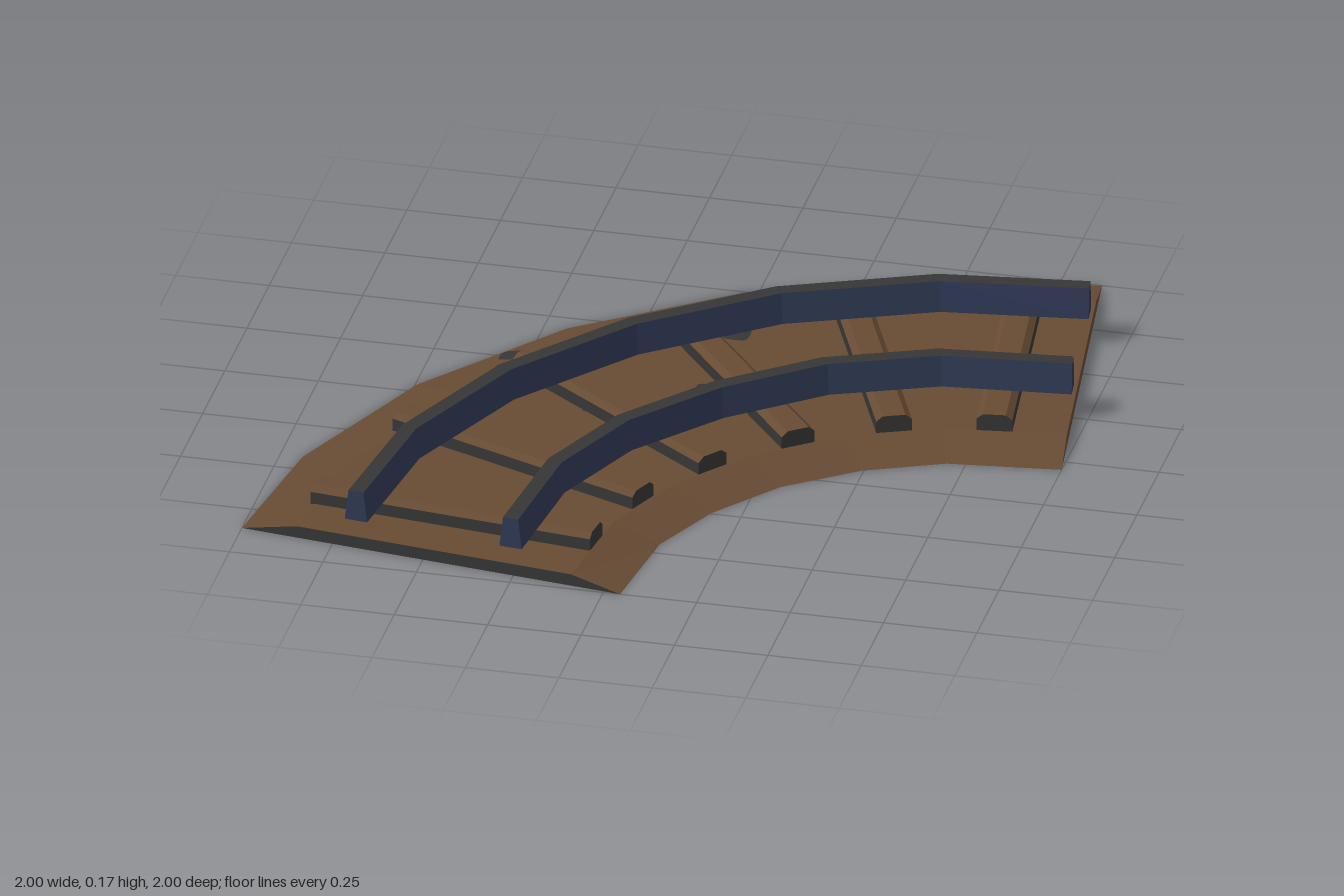
import * as THREE from 'three';

const material = (name, color) => {
  const m = new THREE.MeshStandardMaterial({ color });
  m.name = name;
  return m;
};

// Half of each plan outline [x, z]; the rest is mirrored across the line x = z
const mirrored = half => [...half, ...half.slice(0, -1).reverse().map(([x, z]) => [z, x])];
const OUTER = mirrored([[-1, 0.86], [-0.94, 0.43], [-0.745, -0.04], [-0.44, -0.44]]);
const INNER = mirrored([[0.045, 1], [0.08, 0.7], [0.17, 0.495], [0.31, 0.31]]);
const OUTER_RAIL = mirrored([[-0.685, 0.902], [-0.635, 0.51], [-0.47, 0.12], [-0.21, -0.21]]);
const INNER_RAIL = mirrored([[-0.258, 0.958], [-0.222, 0.61], [-0.105, 0.33], [0.09, 0.09]]);
const CENTRE = 1.148;
const BED = 0.033;

// Joins matching rings of points; one material index per ring edge and per end cap
function loft(name, rings, edgeMaterials, caps, materials) {
  const pos = [], geo = new THREE.BufferGeometry();
  const n = rings[0].length;
  const tri = (index, ...points) => {
    geo.addGroup(pos.length / 3, 3, index);
    points.forEach(p => pos.push(...p));
  };
  for (let i = 0; i < rings.length - 1; i++) {
    for (let j = 0; j < n; j++) {
      const k = (j + 1) % n, a = rings[i], b = rings[i + 1];
      tri(edgeMaterials[j], a[j], a[k], b[k]);
      tri(edgeMaterials[j], a[j], b[k], b[j]);
    }
  }
  const first = rings[0], last = rings[rings.length - 1];
  for (let j = 1; j < n - 1; j++) {
    tri(caps[0], first[0], first[j + 1], first[j]);
    tri(caps[1], last[0], last[j], last[j + 1]);
  }
  geo.setAttribute('position', new THREE.Float32BufferAttribute(pos, 3));
  geo.computeVertexNormals();
  const mesh = new THREE.Mesh(geo, materials);
  mesh.name = name;
  return mesh;
}

// Cross-section [offset, y] placed at a plan point along a sideways direction
function placeSection(section, [x, z], sx, sz) {
  const l = Math.hypot(sx, sz);
  return section.map(([o, y]) => [x + o * sx / l, y, z + o * sz / l]);
}

// Signed distances from a plan point to the lines through an outline's segments
function lineDistances(line, x, z) {
  return line.slice(1).map(([bx, bz], i) => {
    const [ax, az] = line[i], dx = bx - ax, dz = bz - az;
    return ((z - az) * dx - (x - ax) * dz) / Math.hypot(dx, dz);
  });
}

// Height of the sloped bed surface
function bedHeight(x, z) {
  const fromOuter = Math.min(...lineDistances(OUTER, x, z));
  const fromInner = -Math.max(...lineDistances(INNER, x, z));
  return BED * Math.max(0, Math.min(1, fromOuter / 0.15, fromInner / 0.135));
}

// Stone patches: [x0, x1, z0, z1]
const PATCHES = [
  [-0.54, -0.41, 0.44, 0.58], [-0.69, -0.56, 0.58, 0.67], [-0.82, -0.75, 0.37, 0.51],
  [-0.40, -0.28, 0.32, 0.37], [-0.35, -0.28, 0.46, 0.51], [-0.41, -0.28, 0.64, 0.71],
  [-0.54, -0.34, 0.84, 0.91], [-0.81, -0.74, 0.78, 0.84], [-0.81, -0.74, 0.62, 0.68],
  [-0.15, -0.08, 0.52, 0.75], [-0.15, -0.08, 0.83, 0.96], [-0.24, -0.13, 0.62, 0.70],
  [-0.02, 0.04, -0.02, 0.05], [-0.02, 0.06, -0.15, -0.09], [-0.02, 0.05, -0.48, -0.41],
  [0.11, 0.18, -0.35, -0.28], [-0.57, -0.50, -0.27, -0.20], [-0.48, -0.41, -0.28, -0.21],
  [-0.56, -0.49, -0.17, -0.11], [-0.28, -0.22, 0.06, 0.12], [0.06, 0.16, 0.33, 0.44],
  [0.22, 0.28, 0.18, 0.24], [0.21, 0.28, 0.25, 0.32], [0.33, 0.39, 0.09, 0.16],
  [0.40, 0.46, 0.05, 0.11], [-0.60, -0.52, 0.46, 0.53],
];

function makePatch([x0, x1, z0, z1], mat) {
  const geo = new THREE.RingGeometry(0, 1, 16, 3).rotateX(-Math.PI / 2);
  const p = geo.attributes.position;
  for (let i = 0; i < p.count; i++) {
    // Push the circle out toward a rounded rectangle, then drape it on the bed
    const r = Math.hypot(p.getX(i), p.getZ(i)) || 1;
    const soften = v => Math.sign(v) * Math.sqrt(Math.abs(v) / r) * r;
    const x = (x0 + x1) / 2 + soften(p.getX(i)) * (x1 - x0) / 2;
    const z = (z0 + z1) / 2 + soften(p.getZ(i)) * (z1 - z0) / 2;
    p.setXYZ(i, x, bedHeight(x, z) + 0.003, z);
  }
  geo.computeVertexNormals();
  const mesh = new THREE.Mesh(geo, mat);
  mesh.name = 'stonePatch';
  return mesh;
}

export function createModel() {
  const group = new THREE.Group();
  group.name = 'curvedTrack';
  const brown = material('earthBrown', 0x674b33);
  const grey = material('stoneGrey', 0x363636);
  const navy = material('railNavy', 0x303a56);

  // Earth bed with sloped shoulders
  const profile = [[0, 0], [0.145, BED], [0.87, BED], [1, 0]];
  const bedRings = OUTER.map(([ox, oz], i) => profile.map(([t, y]) =>
    [ox + (INNER[i][0] - ox) * t, y, oz + (INNER[i][1] - oz) * t]));
  group.add(loft('earthBed', bedRings, [0, 0, 0, 1], [1, 0], [brown, grey]));

  // Stone patches
  const patches = new THREE.Group();
  patches.name = 'stonePatches';
  PATCHES.forEach(patch => patches.add(makePatch(patch, grey)));
  group.add(patches);

  // Chamfered sleepers, three on each side of the bend: [outer end, inner end]
  const sleeperSection = [[-0.047, 0.03], [-0.047, 0.066], [-0.03, 0.08],
    [0.03, 0.08], [0.047, 0.066], [0.047, 0.03]];
  const halfSleepers = [
    [[0.697, -0.838], [0.793, -0.068]],
    [[0.245, -0.715], [0.54, -0.003]],
    [[-0.153, -0.478], [0.315, 0.13]],
  ];
  const swap = ([x, z]) => [z, x];
  for (const ends of [...halfSleepers, ...halfSleepers.map(s => s.map(swap))]) {
    const [a, b] = ends, dx = b[0] - a[0], dz = b[1] - a[1];
    const rings = ends.map(p => placeSection(sleeperSection, p, -dz, dx));
    group.add(loft('sleeper', rings, [1, 0, 0, 0, 1, 1], [1, 1], [brown, grey]));
  }

  // Tapered rails following the bend
  const railSection = [[-0.031, 0.08], [-0.021, 0.165], [0.021, 0.165], [0.031, 0.08]];
  for (const [name, path] of [['outerRail', OUTER_RAIL], ['innerRail', INNER_RAIL]]) {
    const rings = path.map(p => placeSection(railSection, p, CENTRE - p[0], CENTRE - p[1]));
    group.add(loft(name, rings, [0, 1, 0, 0], [0, 0], [navy, grey]));
  }
  return group;
}
